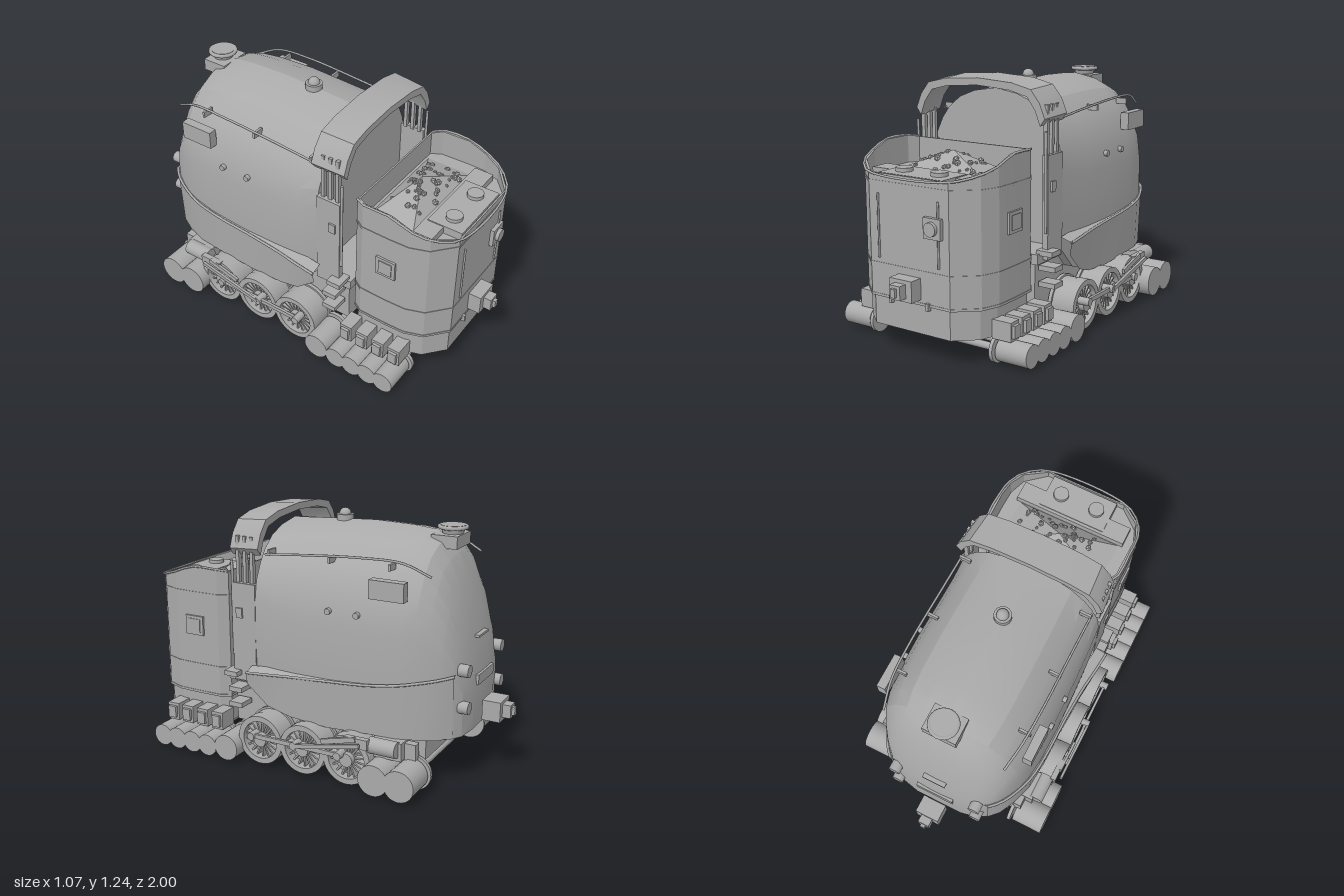
import * as THREE from 'three';
import { toCreasedNormals } from 'three/addons/utils/BufferGeometryUtils.js';

const grey = new THREE.MeshStandardMaterial({ color: 0xaaaaaa, side: THREE.DoubleSide });
grey.name = 'plain grey';

const V = (x, y, z) => new THREE.Vector3(x, y, z);

// Skin a row of equal-length rings; wrap closes each ring, caps fills the ends.
function loft(rings, wrap = true, caps = false, crease = 0.3) {
  const n = rings[0].length, idx = [];
  for (let i = 0; i < rings.length - 1; i++)
    for (let j = 0; j < (wrap ? n : n - 1); j++) {
      const a = i * n + j, b = i * n + (j + 1) % n, c = b + n, d = a + n;
      idx.push(a, d, c, a, c, b);
    }
  const last = (rings.length - 1) * n;
  if (caps) for (let j = 1; j < n - 1; j++) idx.push(0, j, j + 1, last, last + j + 1, last + j);
  const g = new THREE.BufferGeometry().setFromPoints(rings.flat());
  g.setIndex(idx);
  return toCreasedNormals(g, crease);
}

export function createModel() {
  const model = new THREE.Group();
  const add = (name, geo, x = 0, y = 0, z = 0) => {
    const m = new THREE.Mesh(geo, grey);
    m.name = name;
    m.position.set(x, y, z);
    model.add(m);
    return m;
  };
  const box = (name, w, h, d, x, y, z) => add(name, new THREE.BoxGeometry(w, h, d), x, y, z);
  const cylY = (name, rt, rb, h, x, y, z, n = 20) => add(name, new THREE.CylinderGeometry(rt, rb, h, n), x, y, z);
  const cylX = (name, r, h, x, y, z, n = 28) => add(name, new THREE.CylinderGeometry(r, r, h, n).rotateZ(Math.PI / 2), x, y, z);
  const cylZ = (name, r, h, x, y, z, n = 20) => add(name, new THREE.CylinderGeometry(r, r, h, n).rotateX(Math.PI / 2), x, y, z);
  const tube = (name, pts, r) => add(name, new THREE.TubeGeometry(new THREE.CatmullRomCurve3(pts), 24, r, 6));
  const sides = [1, -1];

  // Streamlined boiler casing: [z, half width, top, bottom]
  const profile = [[0.97, 0.25], [1, 0.5], [0.99, 0.75], [0.95, 0.87], [0.85, 0.97], [0.745, 1.04], [0.56, 1.115], [0.32, 1.16], [0, 1.185]];
  const stations = [[0.21, 0.385, 1.165, 0.42], [0.1, 0.39, 1.17, 0.3], [-0.05, 0.395, 1.18, 0.26], [-0.25, 0.4, 1.19, 0.25],
    [-0.45, 0.397, 1.185, 0.25], [-0.56, 0.385, 1.175, 0.25], [-0.63, 0.367, 1.15, 0.25], [-0.685, 0.342, 1.08, 0.25],
    [-0.74, 0.31, 0.95, 0.25], [-0.785, 0.27, 0.79, 0.25], [-0.815, 0.22, 0.65, 0.25], [-0.835, 0.13, 0.52, 0.26]];
  add('boilerCasing', loft(stations.map(([z, w, top, bot]) => {
    const half = profile.map(([x, y]) => V(x * w, bot + (y - 0.25) * (top - bot) / 0.935, z));
    return [...half, ...half.slice(0, -1).reverse().map(p => V(-p.x, p.y, z))];
  }), true, true));

  // Flared side skirts with ledge and beading: [z, outer x, ledge y, bottom y]
  const skirt = [[0.23, 0.45, 0.46, 0.4], [0.12, 0.44, 0.465, 0.3], [0, 0.425, 0.47, 0.26], [-0.2, 0.413, 0.48, 0.24],
    [-0.4, 0.41, 0.495, 0.25], [-0.55, 0.397, 0.515, 0.25], [-0.66, 0.362, 0.535, 0.25], [-0.74, 0.32, 0.55, 0.25], [-0.79, 0.273, 0.56, 0.26]];
  for (const s of sides) {
    const rings = skirt.map(([z, x, y, b]) => [V(s * (x - 0.01), b, z), V(s * x, y, z), V(s * (x - 0.06), y + 0.02, z)]);
    add('sideSkirt', loft(s > 0 ? rings : rings.reverse(), false));
    tube('skirtBeading', skirt.map(([z, x, y]) => V(s * x, y, z)), 0.007);
    // Handrail and its brackets
    tube('handrail', [V(s * 0.345, 1.04, 0.17), V(s * 0.345, 1.06, -0.05), V(s * 0.345, 1.08, -0.35), V(s * 0.335, 1.075, -0.55), V(s * 0.31, 1.02, -0.68)], 0.006);
    for (const z of [0.15, -0.18, -0.49]) box('railBracket', 0.06, 0.03, 0.012, s * 0.32, 1.05, z);
    // Side plates and bosses
    box('namePlate', 0.045, 0.09, 0.175, s * 0.38, 0.955, -0.5);
    for (const z of [-0.35, -0.2]) cylX('sideBoss', 0.015, 0.02, s * 0.395, 0.82, z);
    // Nose lamps
    cylZ('upperLamp', 0.03, 0.05, s * 0.22, 0.58, -0.82);
    cylZ('lowerLamp', 0.03, 0.05, s * 0.22, 0.4, -0.825);
  }
  box('nosePlate', 0.2, 0.05, 0.02, 0, 0.5, -0.835);
  box('noseHandle', 0.12, 0.012, 0.03, 0, 0.7, -0.81);

  // Chimney and dome
  box('chimneyBase', 0.17, 0.06, 0.13, 0, 1.135, -0.64);
  cylY('chimney', 0.06, 0.045, 0.06, 0, 1.175, -0.65);
  add('chimneyRim', new THREE.TorusGeometry(0.064, 0.01, 8, 24).rotateX(Math.PI / 2), 0, 1.195, -0.65);
  cylY('domeBase', 0.042, 0.042, 0.03, 0, 1.19, -0.08);
  add('domeCap', new THREE.SphereGeometry(0.03, 14, 8), 0, 1.205, -0.08);

  // Cab roof arch
  const arch = (k, dy) => [[0.39, 1.07], [0.36, 1.14], [0.31, 1.2], [0.2, 1.225], [0, 1.237]].map(([x, y]) => [x * k, y - dy]);
  const full = h => [...h, ...h.slice(0, -1).reverse().map(([x, y]) => [-x, y])];
  const outline = [...full(arch(1, 0)), ...full(arch(0.93, 0.035)).reverse()].map(p => new THREE.Vector2(...p));
  const roof = new THREE.ExtrudeGeometry(new THREE.Shape(outline), { depth: 0.17, bevelEnabled: false });
  const rp = roof.attributes.position;
  for (let i = 0; i < rp.count; i++) if (rp.getZ(i) > 0.1) { rp.setX(i, rp.getX(i) * 0.96); rp.setY(i, rp.getY(i) - 0.012); }
  add('cabRoof', toCreasedNormals(roof, 0.4), 0, 0, 0.185);

  // Cab sides, pillars and steps
  for (const s of sides) {
    box('cabSide', 0.03, 0.5, 0.13, s * 0.37, 0.64, 0.275);
    for (const z of [0.235, 0.275, 0.315]) box('cabPillar', 0.022, 0.24, 0.018, s * 0.36, 1.0, z);
    cylY('cabGrabRail', 0.007, 0.007, 0.48, s * 0.375, 0.76, 0.345, 8);
    box('cabLatch', 0.012, 0.05, 0.035, s * 0.388, 0.74, 0.3);
    for (const [y, z] of [[0.43, 0.335], [0.35, 0.31], [0.27, 0.31]]) box('cabStep', 0.09, 0.025, 0.075, s * 0.385, y, z);
  }
  box('cabFloor', 0.72, 0.05, 0.2, 0, 0.4, 0.29);
  box('chassis', 0.66, 0.24, 1.05, 0, 0.27, -0.16);

  // Tender plan, half outline from the cab end round to the front
  const plan = [[0.33, 0.4], [0.362, 0.45], [0.365, 0.6], [0.362, 0.7], [0.33, 0.79], [0.225, 0.88]];
  const topY = z => z > 0.6 ? 0.93 - (z - 0.6) * 0.32 : z < 0.45 ? 0.925 : 0.935;
  const planRing = (k, y) => {
    const half = plan.map(([x, z]) => V(x * k, y ?? topY(z), 0.64 + (z - 0.64) * k));
    return [...half, ...half.slice().reverse().map(p => V(-p.x, p.y, p.z))];
  };
  add('tenderBody', loft([planRing(1, 0.27), planRing(1), planRing(0.965), planRing(0.965, 0.8)], true, true));
  add('tenderBase', loft([planRing(0.96, 0.125), planRing(0.96, 0.27)], true, true));
  for (const y of [0.27, 0.42, 0.8])
    add('tenderBand', loft([planRing(1, y - 0.006), planRing(1.008, y - 0.006), planRing(1.008, y + 0.006), planRing(1, y + 0.006)]));
  tube('tenderTopBead', planRing(1), 0.006);

  // Tender deck with fillers
  box('tenderDeck', 0.6, 0.04, 0.1, 0, 0.815, 0.72);
  box('fillerDeck', 0.36, 0.04, 0.18, 0, 0.82, 0.775);
  for (const s of sides) cylY('fillerCap', 0.04, 0.04, 0.02, s * 0.1, 0.848, 0.78);

  // Coal heap with loose lumps
  const heap = new THREE.ConeGeometry(1, 0.12, 4).rotateY(Math.PI / 4).scale(0.43, 1, 0.19);
  add('coalHeap', toCreasedNormals(heap, 0.1), 0, 0.85, 0.545);
  let seed = 7;
  const rnd = () => (seed = (seed * 16807) % 2147483647) / 2147483647;
  for (let i = 0; i < 45; i++) {
    const x = (rnd() - 0.4) * 0.4, z = (rnd() - 0.5) * 0.2;
    const y = 0.91 - 0.12 * Math.max(Math.abs(x) / 0.304, Math.abs(z) / 0.134);
    const lump = add('coalLump', new THREE.IcosahedronGeometry(0.009 + rnd() * 0.008, 0), x, y, 0.545 + z);
    lump.rotation.set(rnd() * 3, rnd() * 3, 0);
  }

  // Tender fittings
  for (const s of sides) {
    box('sideHatch', 0.02, 0.1, 0.105, s * 0.365, 0.63, 0.588);
    box('sideHatchPanel', 0.026, 0.07, 0.07, s * 0.366, 0.63, 0.588);
    cylY('frontRail', 0.005, 0.005, 0.3, s * 0.17, 0.6, 0.885, 6);
    box('frontBracket', 0.015, 0.035, 0.02, s * 0.105, 0.265, 0.885);
  }
  box('lampPlate', 0.095, 0.095, 0.03, 0.145, 0.63, 0.885);
  cylZ('lamp', 0.032, 0.035, 0.145, 0.63, 0.9);

  // Couplings at both ends
  for (const s of sides) {
    box('couplingBlock', 0.125, 0.1, 0.09, 0, 0.34, s * 0.9);
    box('couplingNeck', 0.06, 0.065, 0.05, 0, 0.34, s * 0.96);
    box('couplingTip', 0.025, 0.04, 0.03, 0, 0.34, s * 0.985);
  }

  // Small wheels: [z, radius]
  const rollers = [[0.695, 0.055], [0.605, 0.055], [0.512, 0.055], [0.42, 0.055], [0.305, 0.066], [-0.51, 0.077], [-0.64, 0.077]];
  for (const [z, r] of rollers) {
    cylX('axle', 0.018, 0.7, 0, r + 0.01, z, 12);
    for (const s of sides) {
      cylX('smallWheel', r, 0.165, s * 0.452, r + 0.01, z);
      cylX('wheelFlange', r + 0.01, 0.018, s * 0.35, r + 0.01, z);
      if (r < 0.06) {
        box('axleBox', 0.1, 0.09, 0.066, s * 0.39, 0.165, z);
        box('axleBoxLid', 0.02, 0.06, 0.045, s * 0.445, 0.165, z);
      }
    }
  }

  // Spoked driving wheels
  for (const z of [0.135, -0.105, -0.345]) {
    cylX('drivingAxle', 0.028, 0.7, 0, 0.133, z, 12);
    for (const s of sides) {
      cylX('drivingWheel', 0.122, 0.07, s * 0.39, 0.133, z, 36);
      cylX('drivingFlange', 0.132, 0.018, s * 0.35, 0.133, z, 36);
      const ring = new THREE.Shape().absarc(0, 0, 0.124, 0, Math.PI * 2);
      ring.holes.push(new THREE.Path().absarc(0, 0, 0.096, 0, Math.PI * 2));
      const rim = new THREE.ExtrudeGeometry(ring, { depth: 0.06, bevelEnabled: false, curveSegments: 24 });
      add('drivingRim', toCreasedNormals(rim.rotateY(Math.PI / 2), 0.5), s * 0.45 - 0.03, 0.133, z);
      cylX('hub', 0.034, 0.06, s * 0.455, 0.133, z);
      for (let i = 0; i < 18; i++) {
        const spoke = box('spoke', 0.035, 0.07, 0.008, s * 0.44, 0.133, z);
        spoke.geometry.translate(0, 0.065, 0);
        spoke.rotation.x = i * Math.PI / 9;
      }
      cylX('crankPin', 0.02, 0.06, s * 0.49, 0.16, z + 0.03, 12);
    }
  }

  // Rods and cylinders
  for (const s of sides) {
    box('couplingRod', 0.014, 0.022, 0.5, s * 0.5, 0.16, -0.075);
    const bar = (name, z0, y0, z1, y1, x, h) => {
      const m = box(name, 0.014, h, Math.hypot(z1 - z0, y1 - y0), s * x, (y0 + y1) / 2, (z0 + z1) / 2);
      m.rotation.x = -Math.atan2(y1 - y0, z1 - z0);
    };
    bar('connectingRod', -0.075, 0.16, -0.43, 0.235, 0.515, 0.02);
    bar('valveRod', -0.22, 0.21, -0.4, 0.255, 0.495, 0.025);
    box('slideBar', 0.03, 0.05, 0.12, s * 0.48, 0.235, -0.4);
    cylZ('steamCylinder', 0.04, 0.14, s * 0.44, 0.22, -0.52);
    box('cylinderBlock', 0.1, 0.09, 0.15, s * 0.38, 0.205, -0.53);
    box('bogieFrame', 0.04, 0.1, 0.08, s * 0.37, 0.19, -0.62);
  }
  return model;
}
